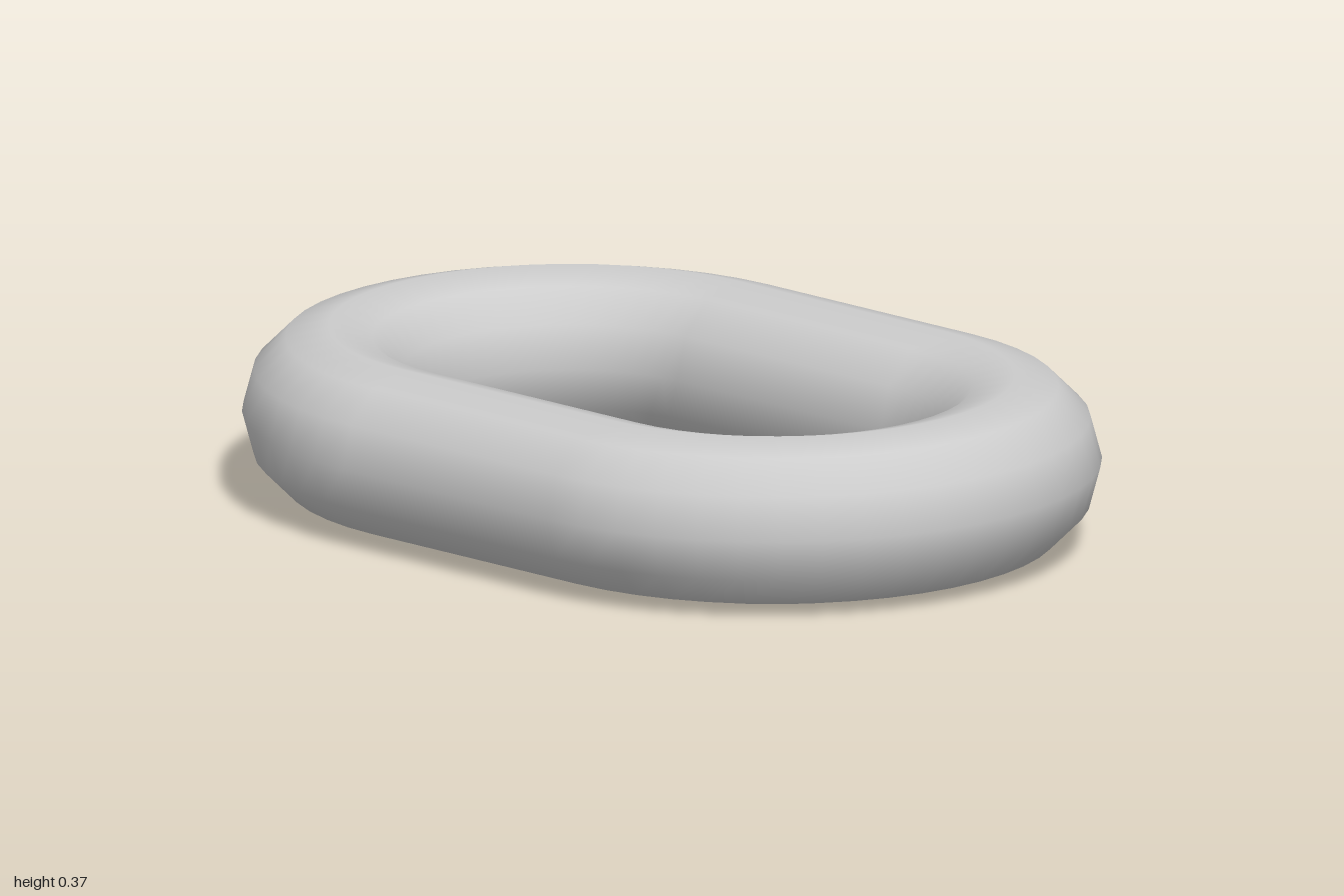
import * as THREE from 'three';

const TUBE = 0.185;   // radius of the bar
const BEND = 0.515;   // centreline radius of the rounded ends
const HALF = 0.3;     // half length of the straight bars
const SIDES = 12;

export function createModel() {
  const link = new THREE.Group();
  link.name = 'chainLink';
  const material = new THREE.MeshStandardMaterial({ color: 0xcccccc });

  // Half torus laid flat and opening inwards, and a straight open bar along x
  const bend = new THREE.TorusGeometry(BEND, TUBE, SIDES, 24, Math.PI)
    .rotateX(Math.PI / 2).rotateY(Math.PI / 2);
  const bar = new THREE.CylinderGeometry(TUBE, TUBE, 2 * HALF, SIDES, 1, true)
    .rotateZ(Math.PI / 2);

  const add = (name, geometry, x, z, turn = 0) => {
    const mesh = new THREE.Mesh(geometry, material);
    mesh.name = name;
    mesh.position.set(x, TUBE, z);
    mesh.rotation.y = turn;
    link.add(mesh);
  };

  // Rounded ends
  add('leftBend', bend, HALF, 0);
  add('rightBend', bend, -HALF, 0, Math.PI);

  // Straight sides
  add('frontBar', bar, 0, BEND);
  add('backBar', bar, 0, -BEND);

  return link;
}
